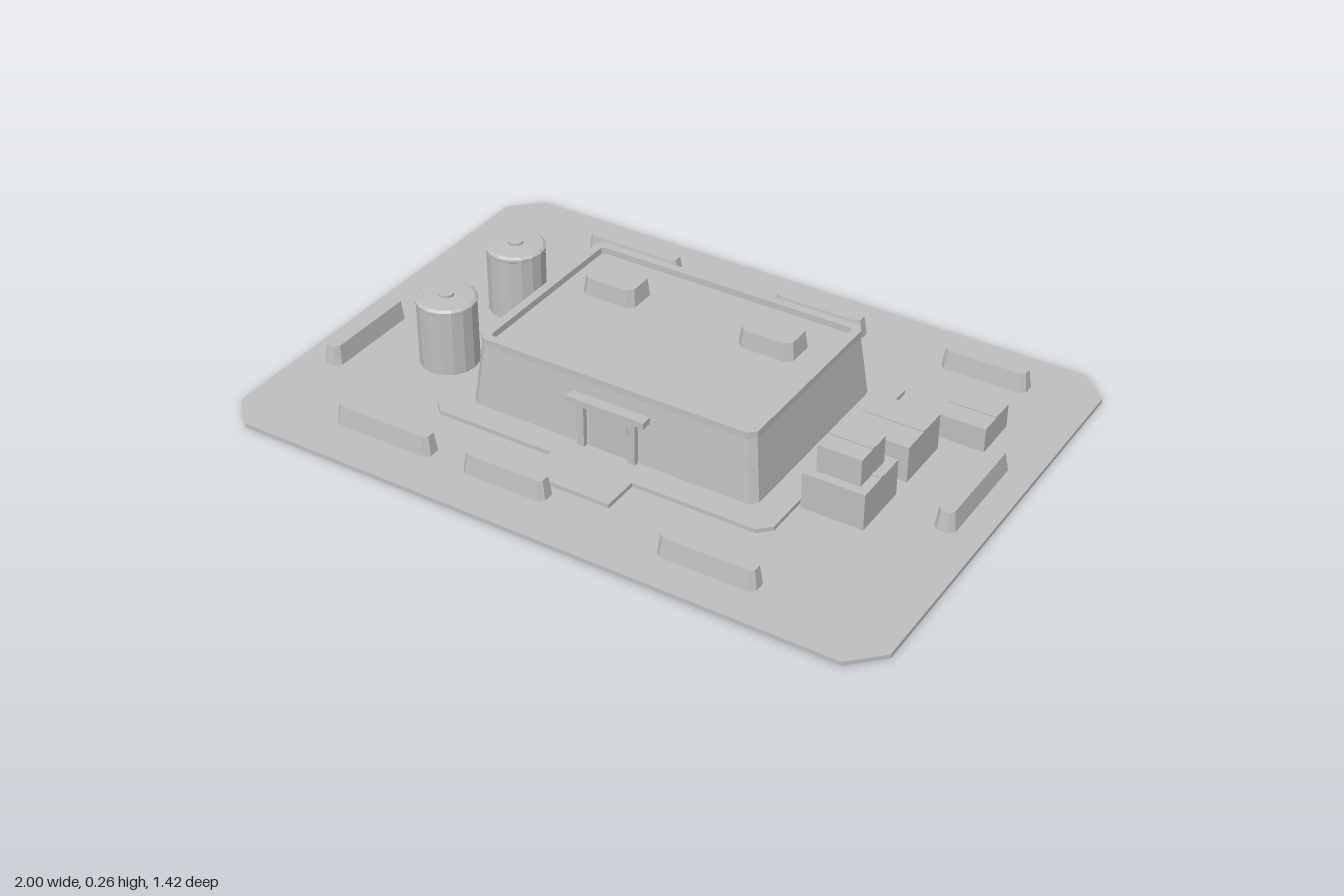
import * as THREE from 'three';

const concrete = new THREE.MeshStandardMaterial({ color: 0xbebebe });
concrete.name = 'concrete grey';

// Rectangle with cut corners
function outline(w, d, c, Type = THREE.Shape) {
  const x = w / 2, z = d / 2;
  const pts = [[x - c, -z], [x, -z + c], [x, z - c], [x - c, z], [-x + c, z], [-x, z - c], [-x, -z + c], [-x + c, -z]];
  return new Type(pts.map(([a, b]) => new THREE.Vector2(a, b)));
}

// Cut-corner block between y0 and y1 whose top is drawn in by inset on each side
function block(w, d, y0, y1, cut, inset = 0, hole = null) {
  const shape = outline(w, d, cut);
  if (hole) shape.holes.push(outline(hole[0], hole[1], 0.008, THREE.Path));
  const geo = new THREE.ExtrudeGeometry(shape, { depth: y1 - y0, bevelEnabled: false });
  geo.rotateX(-Math.PI / 2);
  const p = geo.attributes.position;
  for (let i = 0; i < p.count; i++) {
    if (p.getY(i) > (y1 - y0) / 2) {
      p.setX(i, p.getX(i) * (1 - 2 * inset / w));
      p.setZ(i, p.getZ(i) * (1 - 2 * inset / d));
    }
  }
  geo.translate(0, y0, 0);
  geo.computeVertexNormals();
  return geo;
}

export function createModel() {
  const model = new THREE.Group();
  model.name = 'compound';

  const add = (name, geo, x = 0, z = 0, parent = model) => {
    const mesh = new THREE.Mesh(geo, concrete);
    mesh.name = name;
    mesh.position.set(x, 0, z);
    parent.add(mesh);
    return mesh;
  };
  const box = (name, x0, x1, y0, y1, z0, z1, parent = model) => {
    const geo = new THREE.BoxGeometry(x1 - x0, y1 - y0, z1 - z0);
    geo.translate(0, (y0 + y1) / 2, 0);
    return add(name, geo, (x0 + x1) / 2, (z0 + z1) / 2, parent);
  };

  // Ground plate, foundation and entrance step
  const G = 0.012;
  add('groundPlate', block(2, 1.42, 0, G, 0.085));
  add('foundation', block(1.06, 0.79, G, 0.025, 0.035));
  box('entranceStep', -0.13, 0.125, G, 0.025, 0.38, 0.505);

  // Main building with a raised parapet around the roof
  const building = new THREE.Group();
  building.name = 'building';
  model.add(building);
  add('walls', block(0.896, 0.63, 0.025, 0.212, 0.02, 0.02), 0, 0, building);
  add('parapet', block(0.86, 0.594, 0.212, 0.232, 0.02, 0, [0.808, 0.545]), 0, 0, building);
  for (const x of [-0.252, 0.248]) {
    add('roofVent', block(0.17, 0.112, 0.212, 0.265, 0.018, 0.006), x, -0.115, building);
  }

  // Entrance porch
  const porch = new THREE.Group();
  porch.name = 'porch';
  model.add(porch);
  box('canopy', -0.122, 0.12, 0.153, 0.172, 0.296, 0.332, porch);
  for (const x of [-0.08, 0.08]) box('porchPost', x - 0.011, x + 0.011, 0.025, 0.153, 0.313, 0.329, porch);
  box('door', -0.06, 0.06, 0.025, 0.145, 0.309, 0.316, porch);

  // Storage tanks with shallow conical lids and a cap
  const tankProfile = [[0, G], [0.086, G], [0.086, 0.205], [0.088, 0.207], [0.088, 0.215], [0.08, 0.221],
    [0.022, 0.224], [0.022, 0.232], [0, 0.232]].map(([r, y]) => new THREE.Vector2(r, y));
  for (const z of [-0.172, 0.16]) {
    const geo = new THREE.LatheGeometry(tankProfile, 16).toNonIndexed();
    geo.computeVertexNormals();
    add('storageTank', geo, -0.636, z);
  }
  box('tankPipe', -0.58, -0.44, G, 0.028, -0.017, 0);

  // Low barriers: centre x, centre z, length along x, length along z
  const barriers = [
    [-0.478, -0.56, 0.314, 0.06], [0.153, -0.56, 0.288, 0.06], [0.68, -0.56, 0.26, 0.06],
    [-0.556, 0.548, 0.314, 0.06], [-0.162, 0.548, 0.26, 0.06], [0.469, 0.574, 0.288, 0.06],
    [-0.902, 0.205, 0.06, 0.314], [0.892, -0.032, 0.06, 0.34],
  ];
  for (const [x, z, w, d] of barriers) add('barrier', block(w, d, G, 0.07, 0.014, 0.008), x, z);

  // Crates, each with a thin strap across the lid
  const crates = [
    [0.63, 0.15, 0.182, G, 0.122], [0.63, 0.15, 0.128, 0.122, 0.203],
    [0.63, -0.09, 0.182, G, 0.122], [0.762, -0.298, 0.142, G, 0.085],
  ];
  for (const [x, z, s, y0, y1] of crates) {
    const h = s / 2;
    box('crate', x - h, x + h, y0, y1, z - h * 0.99, z + h * 0.99);
    box('crateStrap', x - h, x + h, y1, y1 + 0.004, z - 0.007, z + 0.007);
  }
  return model;
}
